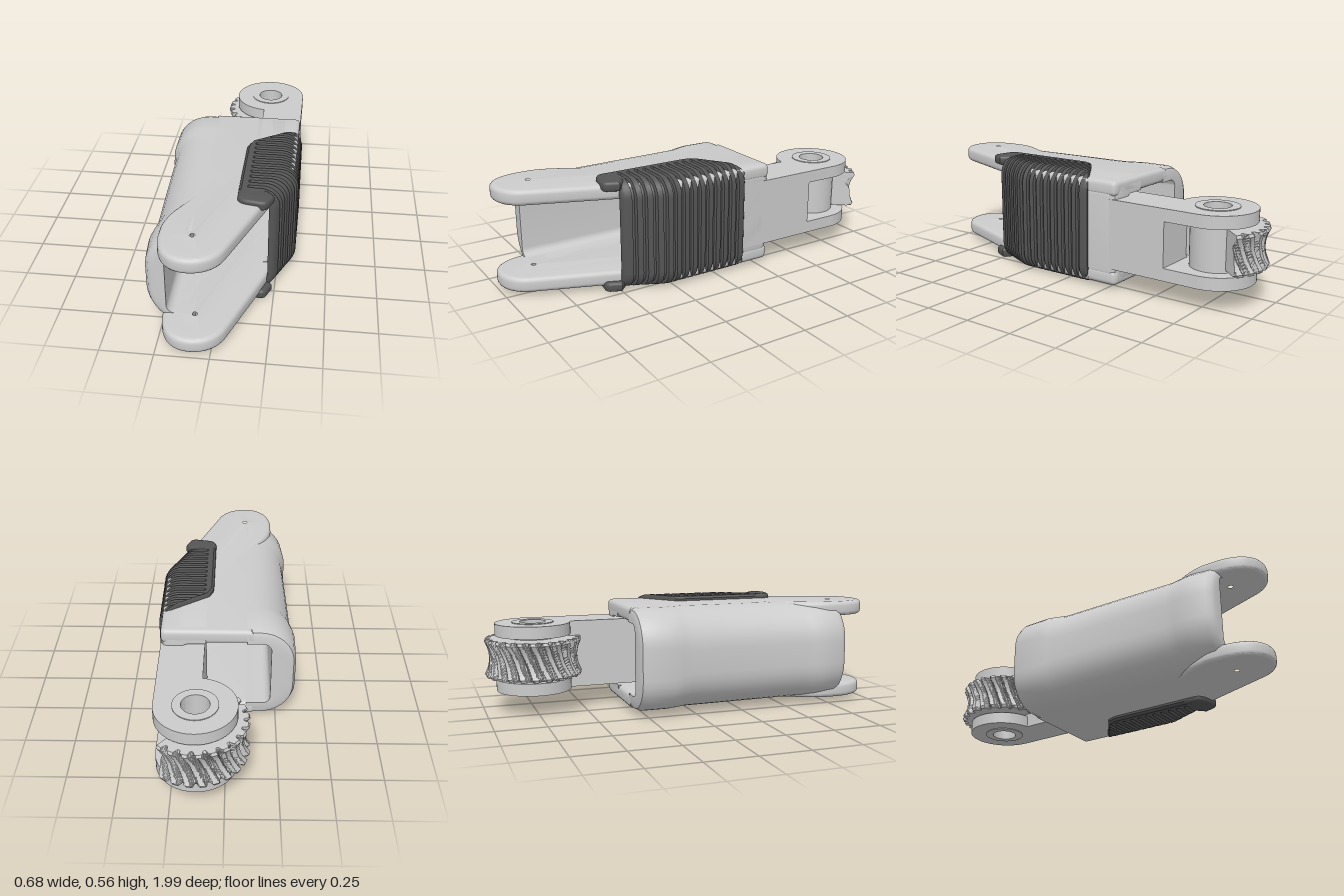
import * as THREE from 'three';
import { toCreasedNormals } from 'three/addons/utils/BufferGeometryUtils.js';

const MID = 0.2825; // height of the horizontal symmetry plane
const V = (x, y, z) => new THREE.Vector3(x, y, z);
const grey = new THREE.MeshStandardMaterial({ color: 0xcccccc });
const dark = new THREE.MeshStandardMaterial({ color: 0x555555 });

function add(parent, name, geo, mat = grey, crease = 0.6) {
  const mesh = new THREE.Mesh(toCreasedNormals(geo, crease), mat);
  mesh.name = name;
  parent.add(mesh);
  return mesh;
}

// Thick sheet swept through sections, each an outer and an inner row of points
function shell(sections, flip = false) {
  const pos = [];
  const quad = (a, b, c, d) => {
    const tris = flip ? [a, c, b, a, d, c] : [a, b, c, a, c, d];
    for (const p of tris) pos.push(p.x, p.y, p.z);
  };
  const loops = sections.map(s => [...s.outer, ...[...s.inner].reverse()]);
  for (let k = 0; k + 1 < loops.length; k++) {
    const A = loops[k], B = loops[k + 1], n = A.length;
    for (let i = 0; i < n; i++) {
      const j = (i + 1) % n;
      quad(A[i], B[i], B[j], A[j]);
    }
  }
  const f = sections[0], l = sections[sections.length - 1];
  for (let i = 0; i + 1 < f.outer.length; i++) {
    quad(l.outer[i], l.inner[i], l.inner[i + 1], l.outer[i + 1]);
    quad(f.outer[i], f.outer[i + 1], f.inner[i + 1], f.inner[i]);
  }
  const geo = new THREE.BufferGeometry();
  geo.setAttribute('position', new THREE.Float32BufferAttribute(pos, 3));
  return geo;
}

// U-shaped row of points: flange from xa, rounded corner r, wall at xo, mirrored below.
// d sinks the row past the flange edge, b bevels the flange edge, side mirrors x.
function uPath(z, { xa, xo, r, h, d = 0, b = 0, side = 1 }) {
  const R = r - d, xc = xo - r, yc = h - r;
  const yAt = (x, q) => yc + (x <= xc ? q : Math.sqrt(Math.max(0, q * q - (x - xc) ** 2)));
  const x0 = xa + b, x1 = Math.max(x0, 0.11), x2 = Math.max(x0, 0.13);
  const half = [[xa, yAt(x0, r) - b], [x0, yAt(x0, r)], [x1, yAt(x1, r)], [x2, yAt(x2, R)]];
  const a0 = Math.asin(THREE.MathUtils.clamp((x2 - xc) / R, 0, 1));
  for (let i = 0; i <= 8; i++) {
    const a = a0 + (Math.PI / 2 - a0) * i / 8;
    half.push([xc + R * Math.sin(a), yc + R * Math.cos(a)]);
  }
  const all = [...half, ...half.map(([x, y]) => [x, -y]).reverse()];
  return all.map(([x, y]) => V(side * x, MID + y, z));
}

// Horizontal slab from a shape drawn in (x, -z), between two heights
function slab(shape, y0, y1, bevel = 0) {
  const geo = new THREE.ExtrudeGeometry(shape, {
    depth: y1 - y0 - 2 * bevel, bevelEnabled: bevel > 0, bevelThickness: bevel,
    bevelSize: bevel, bevelOffset: -bevel, bevelSegments: 4, curveSegments: 24,
  });
  return geo.rotateX(-Math.PI / 2).translate(0, y0 + bevel, 0);
}

function circleHole(shape, x, y, r) {
  shape.holes.push(new THREE.Path().absarc(x, y, r, 0, Math.PI * 2, true));
  return shape;
}

function ring(x, y, r, hole) {
  return circleHole(new THREE.Shape().absarc(x, y, r, 0, Math.PI * 2, false), x, y, hole);
}

function lerpTable(table, z) {
  for (let i = 1; i < table.length; i++) {
    const [z0, v0] = table[i - 1], [z1, v1] = table[i];
    if (z <= z1) return v0 + (v1 - v0) * Math.max(0, (z - z0) / (z1 - z0));
  }
  return table[table.length - 1][1];
}

function buildBody(parent) {
  // Top and bottom plates, tapering to the pierced tip
  const s = new THREE.Shape();
  s.moveTo(-0.13, 0.31).lineTo(0.29, 0.31).quadraticCurveTo(0.32, 0.31, 0.32, 0.28);
  s.lineTo(0.32, -0.2).lineTo(0.06, -0.9);
  s.bezierCurveTo(0.03, -0.97, -0.03, -1, -0.09, -1);
  s.bezierCurveTo(-0.19, -1, -0.235, -0.92, -0.24, -0.82);
  s.lineTo(-0.24, -0.75).bezierCurveTo(-0.22, -0.6, -0.13, -0.56, -0.13, -0.45);
  s.closePath();
  circleHole(s, -0.09, -0.82, 0.034);
  add(parent, 'topPlate', slab(s, 0.465, 0.54, 0.022));
  add(parent, 'bottomPlate', slab(s, 0.025, 0.1, 0.022));

  // Rounded back wall: z, outer x, corner radius, end inset
  const left = [
    [-0.31, 0.343, 0.18, 0.03], [-0.302, 0.343, 0.18, 0.012], [-0.275, 0.343, 0.18, 0],
    [-0.14, 0.343, 0.18, 0], [-0.09, 0.336, 0.19, 0], [-0.04, 0.325, 0.2, 0], [0.3, 0.315, 0.2, 0],
    [0.58, 0.305, 0.2, 0], [0.63, 0.314, 0.2, 0], [0.68, 0.322, 0.2, 0], [0.79, 0.312, 0.2, 0],
    [0.815, 0.31, 0.2, 0.012], [0.825, 0.31, 0.2, 0.03],
  ];
  add(parent, 'leftHandWall', shell(left.map(([z, xo, r, e]) => ({
    outer: uPath(z, { xa: 0.1, xo: xo - e, r: r - e, h: 0.2575 - e, side: -1 }),
    inner: uPath(z, { xa: 0.1, xo: 0.22, r: 0.04, h: 0.1825, side: -1 }),
  })), true));

  // Short wall under the grip pad
  const right = [[-0.31, 0.32, 0.03], [-0.302, 0.32, 0.012], [-0.275, 0.32, 0], [0.2, 0.32, 0], [0.4, 0.247, 0]];
  add(parent, 'gripSideWall', shell(right.map(([z, xo, e]) => ({
    outer: uPath(z, { xa: 0.1, xo: xo - e, r: 0.075 - e, h: 0.2575 - e }),
    inner: uPath(z, { xa: 0.1, xo: 0.225, r: 0.04, h: 0.1825 }),
  }))));
}

function buildPad(parent) {
  // Ribbed pad wrapped round the wall; rings alternate between rib and groove
  const rings = [[-0.15, 0.012], [-0.142, 0.003], [-0.13, 0]];
  for (let k = 0; k < 13; k++) {
    const z = -0.11 + 0.045 * k;
    rings.push([z, 0], [z + 0.005, 0.014], [z + 0.015, 0.014], [z + 0.02, 0]);
  }
  rings.push([0.475, 0], [0.486, 0.004], [0.492, 0.012]);
  const edge = [[-0.15, 0.31], [0, 0.09], [0.05, 0.07], [0.5, 0.07]];
  const face = [[-0.15, 0.34], [0.28, 0.34], [0.5, 0.241]];
  add(parent, 'ribbedPad', shell(rings.map(([z, d]) => {
    const xa = lerpTable(edge, z), xo = lerpTable(face, z);
    return {
      outer: uPath(z, { xa, xo, r: 0.095, h: 0.2805, d, b: 0.012 }),
      inner: uPath(z, { xa, xo: xo - 0.03, r: 0.065, h: 0.25 }),
    };
  })), dark);

  // Flange tips reaching past the front of the pad
  const s = new THREE.Shape();
  s.moveTo(0.07, -0.46).lineTo(0.2, -0.46).lineTo(0.238, -0.5).lineTo(0.215, -0.555);
  s.quadraticCurveTo(0.205, -0.572, 0.18, -0.57).lineTo(0.12, -0.56);
  s.quadraticCurveTo(0.07, -0.55, 0.07, -0.51).closePath();
  add(parent, 'padTipTop', slab(s, 0.515, 0.563, 0.014), dark);
  add(parent, 'padTipBottom', slab(s, 0.002, 0.05, 0.014), dark);
}

function buildArm(parent) {
  const cx = 0.13, cz = -0.75;
  const arm = new THREE.BoxGeometry(0.215, 0.345, 0.46);
  add(parent, 'armBlock', arm.translate(0.2125, MID, -0.35));

  // Fork lugs with bosses round the pivot bore
  const lug = new THREE.Shape().moveTo(0.105, 0.5).lineTo(0.32, 0.5).lineTo(0.32, 0.75);
  lug.absarc(cx, -cz, 0.19, 0, 4.58, false).closePath();
  circleHole(lug, cx, -cz, 0.065);
  add(parent, 'topLug', slab(lug, 0.393, 0.455));
  add(parent, 'bottomLug', slab(lug, 0.11, 0.172));
  add(parent, 'pivotHub', slab(ring(cx, -cz, 0.125, 0.065), 0.172, 0.393));
  add(parent, 'topBoss', slab(ring(cx, -cz, 0.105, 0.065), 0.45, 0.459));
  add(parent, 'bottomBoss', slab(ring(cx, -cz, 0.105, 0.065), 0.106, 0.115));

  // Concave gear sector with slanted teeth
  const sections = [], steps = 180, rows = 14, pitch = Math.PI / 12;
  for (let i = 0; i <= steps; i++) {
    const a = 0.84 + 3.77 * i / steps, outer = [], inner = [];
    for (let j = 0; j <= rows; j++) {
      const t = -1 + 2 * j / rows;
      const u = ((a + 0.17 * t) / pitch % 1 + 1) % 1;
      const groove = 1 - THREE.MathUtils.smoothstep(Math.abs(u - 0.5), 0.1, 0.26);
      const chamfer = Math.max(0, Math.abs(t) - 0.86) * 0.1;
      const r = 0.222 + 0.03 * t * t - chamfer - 0.024 * groove;
      const at = q => V(cx + q * Math.cos(a), MID + 0.097 * t, cz - q * Math.sin(a));
      outer.push(at(r));
      inner.push(at(0.11));
    }
    sections.push({ outer, inner });
  }
  add(parent, 'gearSector', shell(sections), grey, 0.5);
}

export function createModel() {
  const model = new THREE.Group();
  model.name = 'fingerSegment';
  for (const [name, build] of [['housing', buildBody], ['gripPad', buildPad], ['gearArm', buildArm]]) {
    const group = new THREE.Group();
    group.name = name;
    build(group);
    model.add(group);
  }
  return model;
}
